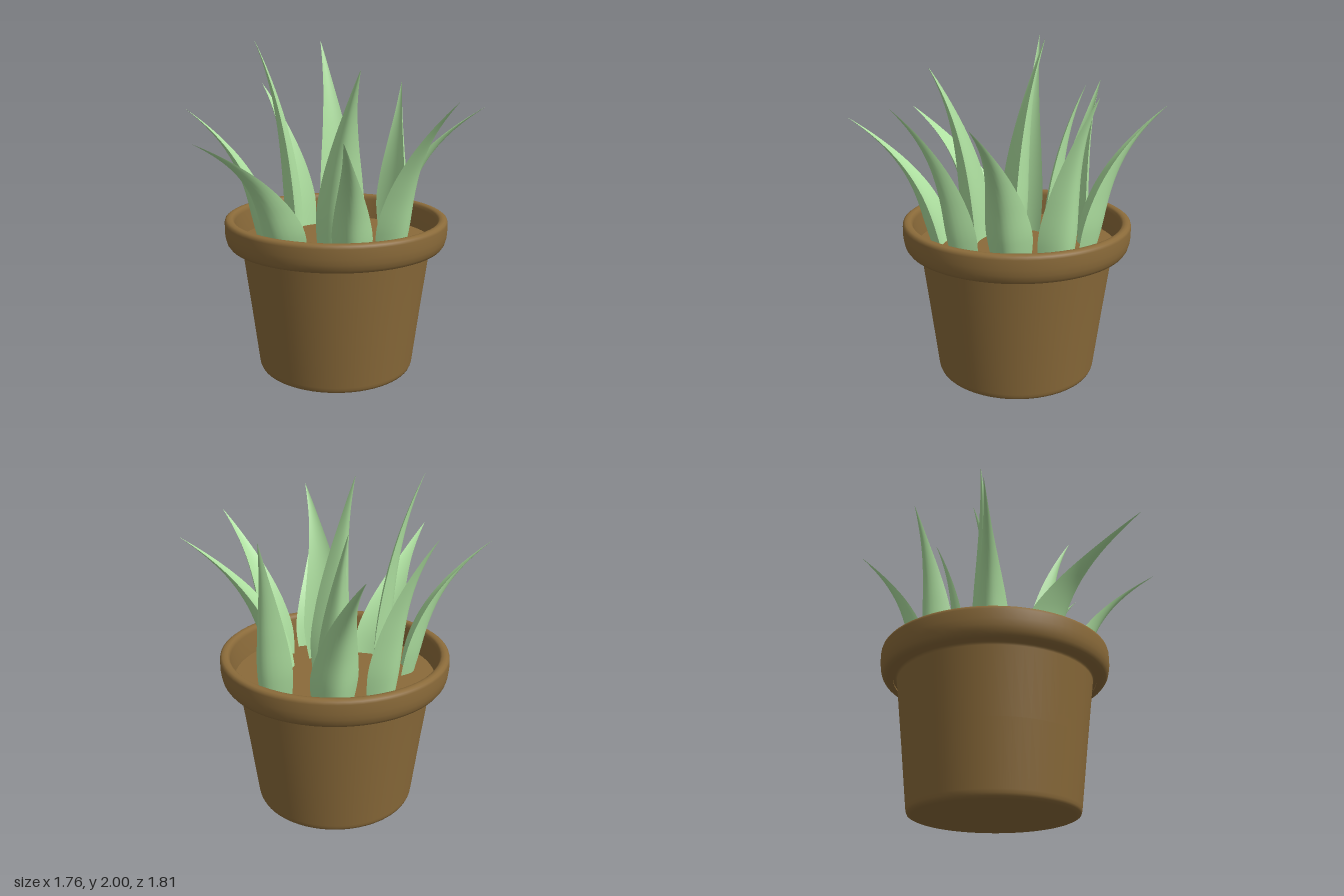
import * as THREE from 'three';
import { ParametricGeometry } from 'three/addons/geometries/ParametricGeometry.js';
import { mergeGeometries } from 'three/addons/utils/BufferGeometryUtils.js';

const SOIL_Y = 0.8;
const LEAF_BASE_Y = 0.78;

// Relative leaf width from root (0) to tip (1)
const widthCurve = new THREE.SplineCurve([
  [0, 0.86], [0.2, 1], [0.4, 0.83], [0.6, 0.54], [0.8, 0.24], [1, 0.006],
].map(([t, w]) => new THREE.Vector2(t, w)));

// Crescent-section leaf: keeled outer face and hollow inner face, bending outward to a point
function leafGeometry([bx, bz], [tx, ty, tz], [fx, fz], width) {
  const n = Math.hypot(fx, fz);
  const f = [fx / n, fz / n];
  const face = (bulge, flip) => new ParametricGeometry((u, v, target) => {
    const { x: t, y: w } = widthCurve.getPoint(v);
    const side = (u * 2 - 1) * flip;
    const out = (bulge * (1 - side * side) - 0.2) * width * w;
    const across = side * width * w / 2;
    const bend = 0.33 * t + 0.67 * t ** 3;
    target.set(
      bx + (tx - bx) * bend + f[0] * out + f[1] * across,
      LEAF_BASE_Y + (ty - LEAF_BASE_Y) * t,
      bz + (tz - bz) * bend + f[1] * out - f[0] * across,
    );
  }, 12, 24);
  return mergeGeometries([face(0.45, 1), face(0.1, -1)]);
}

// Root [x, z], tip [x, y, z], outward facing [x, z], width
const LEAVES = [
  [[-0.02, -0.49], [-0.2, 1.64, -0.9], [-0.07, -0.25], 0.27],
  [[-0.25, 0.23], [-0.53, 1.51, 0.86], [-0.37, 0.9], 0.31],
  [[0.18, 0.35], [0.23, 1.54, 0.91], [0.07, 1], 0.23],
  [[-0.42, 0], [-0.88, 1.6, 0.06], [-1, 0], 0.2],
  [[0.31, -0.12], [0.88, 1.63, -0.12], [1, 0], 0.28],
  [[0.39, 0.13], [0.74, 1.69, 0.36], [0.2, 0.15], 0.25],
  [[0.06, 0.17], [0.225, 1.85, 0.38], [0, 1], 0.29],
  [[0.34, -0.43], [0.345, 1.74, -0.62], [0.16, -0.21], 0.26],
  [[-0.29, -0.36], [-0.55, 1.73, -0.44], [-0.22, -0.14], 0.25],
  [[0, -0.27], [-0.09, 1.75, -0.45], [-0.05, -0.18], 0.19],
  [[-0.25, -0.07], [-0.48, 2, -0.06], [-1, 0], 0.19],
  [[0.02, -0.06], [-0.11, 2, -0.2], [-0.17, -0.22], 0.27],
];

export function createModel() {
  const group = new THREE.Group();
  const clay = new THREE.MeshStandardMaterial({ color: 0x8b6b3a });
  const green = new THREE.MeshStandardMaterial({ color: 0xaee0a0 });

  // Tapered pot with a thick rounded rim and an inner wall
  const profile = [
    [0, 0], [0.455, 0], [0.462, 0.001], [0.477, 0.008], [0.483, 0.022], [0.486, 0.04],
    [0.53, 0.4], [0.578, 0.775], [0.581, 0.788], [0.59, 0.79],
    [0.635, 0.79], [0.655, 0.796], [0.668, 0.815], [0.676, 0.845],
    [0.68, 0.88], [0.68, 0.935], [0.676, 0.95], [0.665, 0.958],
    [0.65, 0.96], [0.635, 0.957], [0.625, 0.948], [0.62, 0.93],
    [0.605, 0.83], [0.6, SOIL_Y - 0.02],
  ].map(([r, y]) => new THREE.Vector2(r, y));
  const pot = new THREE.Mesh(new THREE.LatheGeometry(profile, 64), clay);
  pot.name = 'pot';
  pot.position.set(0.01, 0, -0.073);

  // Soil surface
  const soil = new THREE.Mesh(new THREE.CircleGeometry(0.604, 64), clay);
  soil.name = 'soil';
  soil.rotation.x = -Math.PI / 2;
  soil.position.set(0.01, SOIL_Y, -0.073);

  // Leaves
  const leaves = new THREE.Group();
  leaves.name = 'leaves';
  LEAVES.forEach((spec, i) => {
    const leaf = new THREE.Mesh(leafGeometry(...spec), green);
    leaf.name = `leaf${i + 1}`;
    leaves.add(leaf);
  });

  group.add(pot, soil, leaves);
  return group;
}
